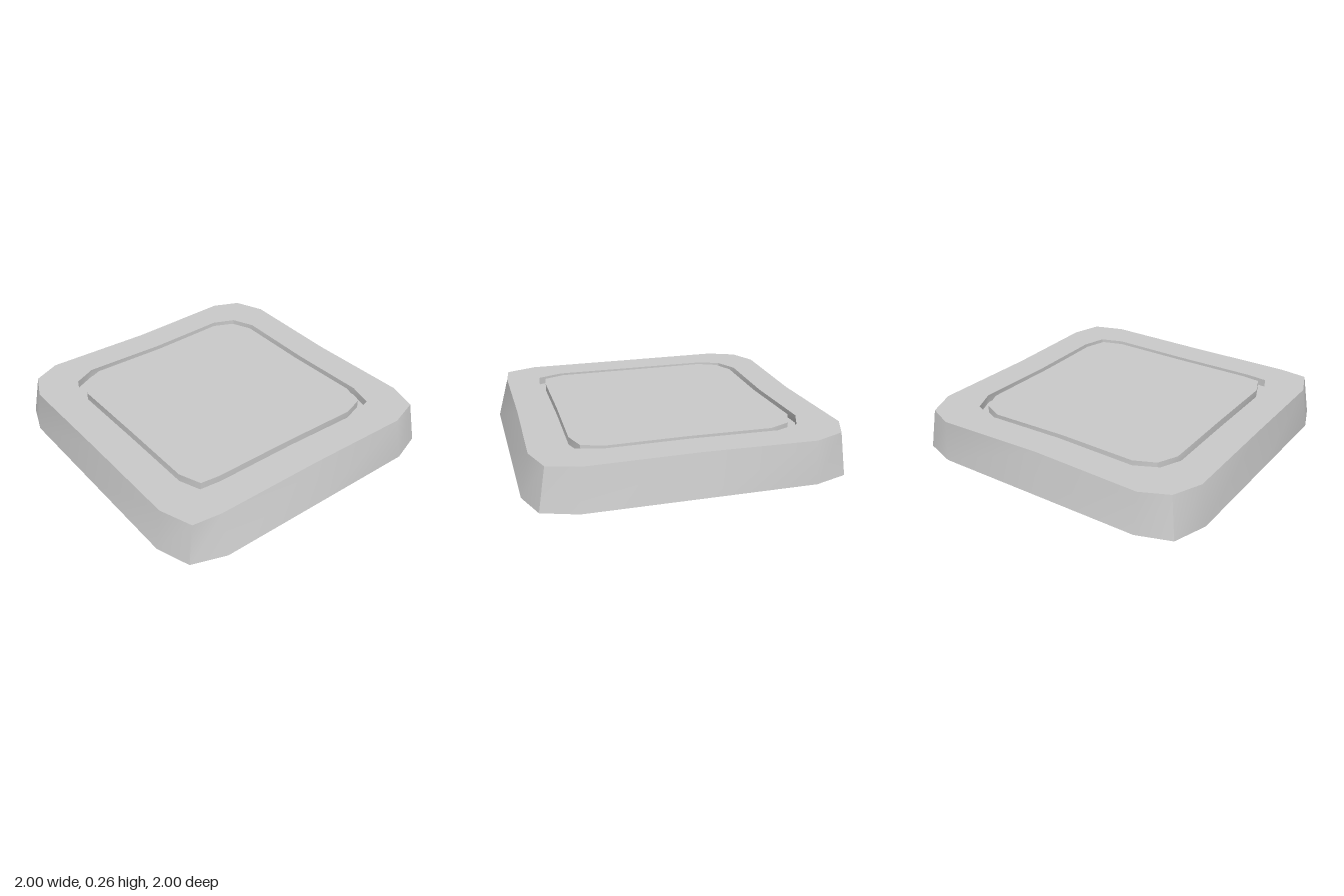
import * as THREE from 'three';
import { toCreasedNormals } from 'three/addons/utils/BufferGeometryUtils.js';

const HEIGHT = 0.265, GROOVE_FLOOR = 0.215;

// Outlines as [x, z], clockwise seen from above, starting at the back edge
const BASE = [
  [-0.71, -1], [0, -1], [0.71, -1], [0.925, -0.925], [1, -0.71], [1, 0], [1, 0.71], [0.925, 0.925],
  [0.71, 1], [0, 1], [-0.71, 1], [-0.925, 0.925], [-1, 0.71], [-1, 0], [-1, -0.71], [-0.925, -0.925],
];
const TOP = [
  [-0.71, -0.965], [0, -0.945], [0.68, -0.96], [0.88, -0.9], [0.945, -0.7], [0.93, 0], [0.93, 0.7], [0.905, 0.885],
  [0.7, 0.96], [0, 0.96], [-0.71, 0.965], [-0.89, 0.885], [-0.97, 0.71], [-0.95, 0], [-0.98, -0.71], [-0.905, -0.885],
];
const GROOVE_OUTER = [
  [-0.555, -0.75], [0, -0.735], [0.52, -0.745], [0.68, -0.7], [0.73, -0.55], [0.715, 0], [0.715, 0.54], [0.7, 0.68],
  [0.535, 0.745], [0, 0.745], [-0.56, 0.745], [-0.69, 0.685], [-0.76, 0.54], [-0.745, 0], [-0.765, -0.54], [-0.705, -0.685],
];
const GROOVE_INNER = [
  [-0.53, -0.705], [0, -0.695], [0.495, -0.705], [0.64, -0.66], [0.685, -0.52], [0.675, 0], [0.675, 0.52], [0.66, 0.645],
  [0.52, 0.7], [0, 0.7], [-0.53, 0.705], [-0.655, 0.645], [-0.715, 0.51], [-0.705, 0], [-0.725, -0.51], [-0.665, -0.645],
];

// A ring is an outline at a height; without an outline it is a centre point
const ring = (outline, y) => BASE.map((_, i) => (outline ? [outline[i][0], y, outline[i][1]] : [0, y, 0]));

// Skin a sequence of rings, leaving out collapsed triangles
function loft(rings) {
  const pos = [];
  const same = (p, q) => p.every((v, k) => v === q[k]);
  const tri = (a, b, c) => {
    if (!same(a, b) && !same(b, c) && !same(a, c)) pos.push(...a, ...b, ...c);
  };
  for (let r = 0; r < rings.length - 1; r++) {
    const a = rings[r], b = rings[r + 1];
    for (let i = 0; i < a.length; i++) {
      const j = (i + 1) % a.length;
      tri(a[i], b[i], a[j]);
      tri(a[j], b[i], b[j]);
    }
  }
  const geometry = new THREE.BufferGeometry();
  geometry.setAttribute('position', new THREE.Float32BufferAttribute(pos, 3));
  return toCreasedNormals(geometry, THREE.MathUtils.degToRad(32));
}

export function createModel() {
  const group = new THREE.Group();
  group.name = 'groovedStoneTile';
  const material = new THREE.MeshStandardMaterial({ color: 0xcccccc });
  const add = (name, rings) => {
    const mesh = new THREE.Mesh(loft(rings), material);
    mesh.name = name;
    group.add(mesh);
  };

  // Underside, sloping sides and flat rim
  add('slab', [ring(null, 0), ring(BASE, 0), ring(TOP, HEIGHT), ring(GROOVE_OUTER, HEIGHT)]);
  // Shallow channel cut into the top
  add('groove', [
    ring(GROOVE_OUTER, HEIGHT), ring(GROOVE_OUTER, GROOVE_FLOOR),
    ring(GROOVE_INNER, GROOVE_FLOOR), ring(GROOVE_INNER, HEIGHT),
  ]);
  // Flat field inside the channel
  add('centrePanel', [ring(GROOVE_INNER, HEIGHT), ring(null, HEIGHT)]);
  return group;
}
